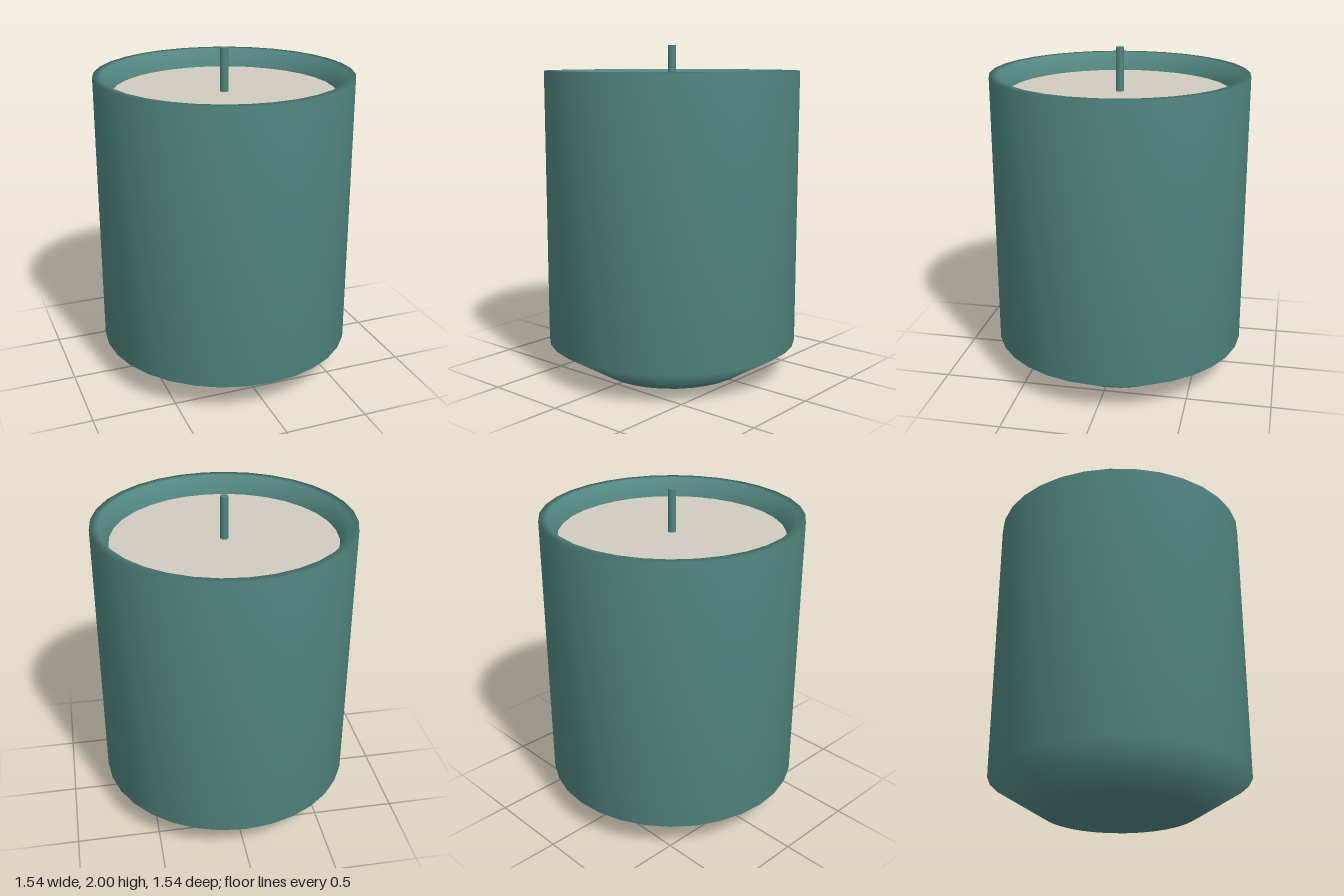
import * as THREE from 'three';
import { mergeVertices } from 'three/addons/utils/BufferGeometryUtils.js';

const SIDES = 32;

// Lathe with one welded, smoothly shaded skin
function smoothLathe(points) {
  const lathe = new THREE.LatheGeometry(points.map(([r, y]) => new THREE.Vector2(r, y)), SIDES);
  lathe.deleteAttribute('uv');
  lathe.deleteAttribute('normal');
  const geometry = mergeVertices(lathe, 1e-4);
  geometry.computeVertexNormals();
  return geometry;
}

export function createModel() {
  const model = new THREE.Group();
  model.name = 'candle';

  const teal = new THREE.MeshStandardMaterial({ color: 0x528780 });
  teal.name = 'teal glaze';
  const cream = new THREE.MeshStandardMaterial({ color: 0xd2ccc0 });
  cream.name = 'cream wax';

  const add = (name, geometry, material, y = 0) => {
    const mesh = new THREE.Mesh(geometry, material);
    mesh.name = name;
    mesh.position.y = y;
    model.add(mesh);
  };

  // Jar: base, chamfered foot, straight wall, rim and tapered inner wall
  add('jar', smoothLathe([
    [0, 0], [0.46, 0], [0.77, 0.19], [0.77, 1.85],
    [0.72, 1.85], [0.67, 1.75], [0.665, 1.7],
  ]), teal);

  // Wax surface filling the jar just below the rim
  const wax = new THREE.CircleGeometry(0.668, SIDES);
  wax.rotateX(-Math.PI / 2);
  add('wax', wax, cream, 1.74);

  // Wick
  add('wick', new THREE.CylinderGeometry(0.025, 0.025, 0.28, 8).rotateY(Math.PI / 8), teal, 1.86);

  return model;
}
